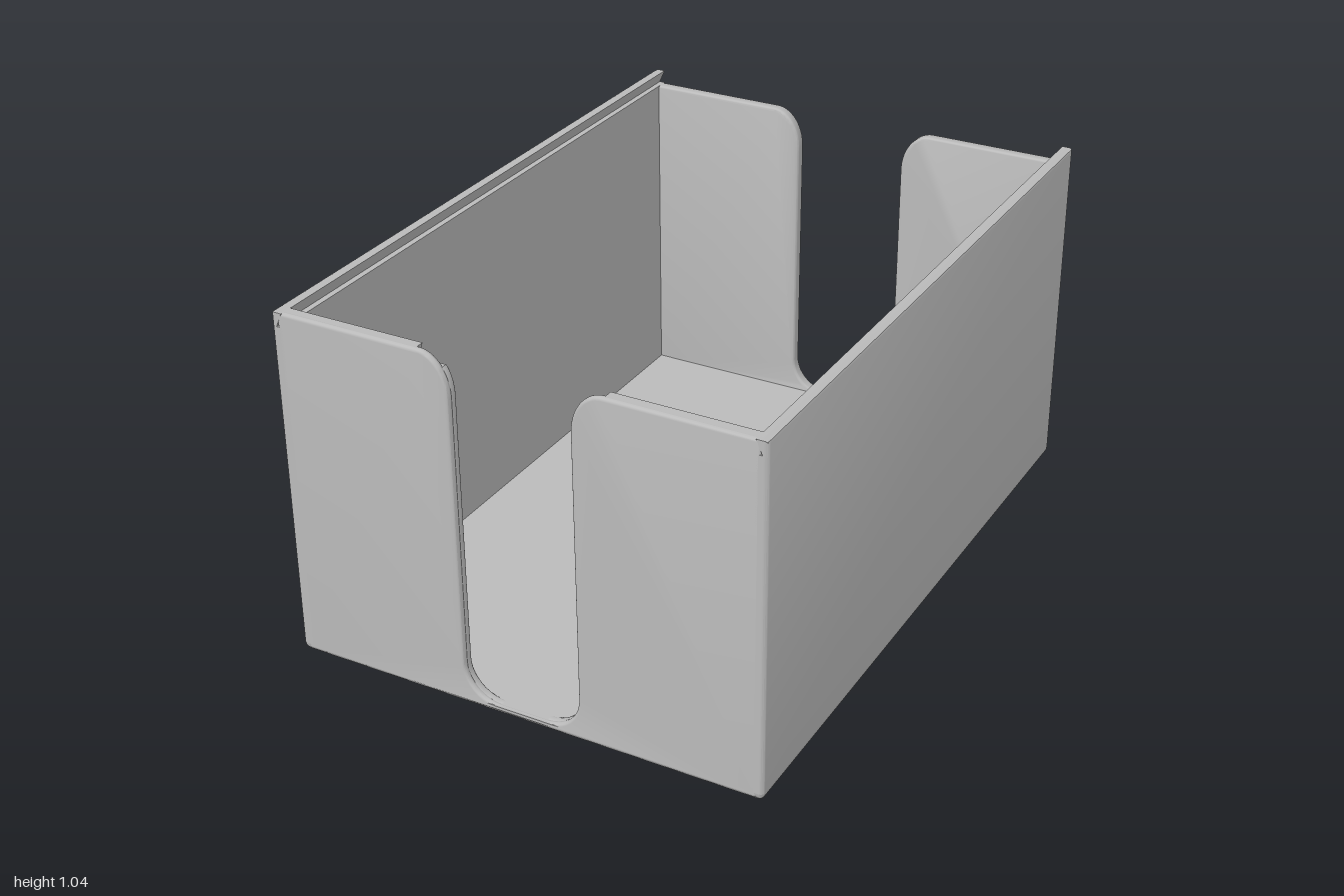
import * as THREE from 'three';
import { toCreasedNormals } from 'three/addons/utils/BufferGeometryUtils.js';

const W = 0.71, L = 1, H = 1.045;      // outer half width, half length, height
const IN_X = 0.677, IN_Z = 0.961;      // inner wall faces
const FLOOR = 0.03, LEDGE = 1.005;     // floor top and lid groove level
const R = 0.012, B = 0.009;            // corner radius and edge rounding

const smooth = (g) => toCreasedNormals(g.index ? g.toNonIndexed() : g, 0.6);

// Floor slab: stacked rounded rectangles giving a rounded lower edge
function baseGeometry() {
  const rings = 7, seg = 4, n = 4 * (seg + 1);
  const pos = [], idx = [];
  for (let i = 0; i < rings; i++) {
    const a = (i / (rings - 1)) * Math.PI / 2;
    const inset = FLOOR * (1 - Math.sin(a)), y = FLOOR * (1 - Math.cos(a));
    for (let c = 0; c < 4; c++) {
      const sx = c === 0 || c === 3 ? 1 : -1, sz = c < 2 ? 1 : -1;
      for (let s = 0; s <= seg; s++) {
        const t = (c + s / seg) * Math.PI / 2;
        pos.push(sx * (W - inset - R) + R * Math.cos(t), y, sz * (L - inset - R) + R * Math.sin(t));
      }
    }
  }
  pos.push(0, 0, 0, 0, FLOOR, 0);
  const low = rings * n, high = low + 1, top = (rings - 1) * n;
  for (let j = 0; j < n; j++) {
    const k = (j + 1) % n;
    for (let i = 0; i < rings - 1; i++) {
      const a = i * n + j, b = i * n + k;
      idx.push(a, a + n, b, b, a + n, b + n);
    }
    idx.push(low, j, k, high, top + k, top + j);
  }
  const g = new THREE.BufferGeometry();
  g.setAttribute('position', new THREE.Float32BufferAttribute(pos, 3));
  g.setIndex(idx);
  return smooth(g);
}

// Side wall: grooved section run along z, outer vertical corners rounded
function sideGeometry() {
  const section = [
    [W, FLOOR], [W, H - 0.008], [W - 0.0023, H - 0.0023], [W - 0.008, H],
    [IN_X, H], [IN_X + 0.018, LEDGE], [IN_X, LEDGE], [IN_X, FLOOR],
  ].map(([x, y]) => new THREE.Vector2(x, y));
  const half = 5, stations = [];
  for (let i = 0; i < half; i++) {
    const a = (i / (half - 1)) * Math.PI / 2;
    stations.push([-L + R * (1 - Math.cos(a)), R * (1 - Math.sin(a))]);
  }
  for (let i = half - 1; i >= 0; i--) stations.push([-stations[i][0], stations[i][1]]);
  const steps = stations.length - 1;
  const g = new THREE.ExtrudeGeometry(new THREE.Shape(section), { depth: steps, steps, bevelEnabled: false });
  const p = g.attributes.position;
  for (let i = 0; i < p.count; i++) {
    const [z, inset] = stations[Math.round(p.getZ(i))];
    p.setXYZ(i, Math.min(p.getX(i), W - inset), p.getY(i), z);
  }
  return smooth(g);
}

// End panel: U shape with a rounded slot; slotTop is where the slot flares out
function panelGeometry(z0, z1, slotTop, top) {
  const right = [];
  for (let i = 0; i <= 10; i++) {
    const a = (i / 10) * Math.PI / 2;
    right.push([0.07 + 0.105 * Math.sin(a), FLOOR + 0.105 * (1 - Math.cos(a))]);
  }
  for (let i = 0; i <= 16; i++) {
    const a = (i / 16) * Math.PI / 2;
    const x = 0.265 - 0.09 * Math.cos(a), y = slotTop - 0.12 * (1 - Math.sin(a));
    if (y < top - 0.0005) right.push([x, y]);
    else {
      const s = 1 - (slotTop - top) / 0.12;
      right.push([0.265 - 0.09 * Math.sqrt(1 - s * s), top]);
      break;
    }
  }
  right.push([0.692, top], [0.692, 0.015]);
  const left = right.map(([x, y]) => [-x, y]).reverse();
  const shape = new THREE.Shape([...right, ...left].map(([x, y]) => new THREE.Vector2(x, y)));
  const g = new THREE.ExtrudeGeometry(shape, {
    depth: z1 - z0 - 2 * B, bevelSize: B, bevelThickness: B, bevelOffset: -B, bevelSegments: 4,
  });
  g.translate(0, 0, z0 + B);
  return smooth(g);
}

// Undercut lip along the top of the front wall
function lipGeometry() {
  const shape = new THREE.Shape([
    new THREE.Vector2(-0.985, LEDGE), new THREE.Vector2(-IN_Z, H), new THREE.Vector2(-0.989, H),
  ]);
  const g = new THREE.ExtrudeGeometry(shape, { depth: 0.42, bevelEnabled: false });
  g.rotateY(Math.PI / 2);
  g.translate(0.27, 0, 0);
  return g;
}

export function createModel() {
  const group = new THREE.Group();
  const grey = new THREE.MeshStandardMaterial({ color: 0xbababa });
  grey.name = 'plain grey';
  const add = (name, geometry) => {
    const mesh = new THREE.Mesh(geometry, grey);
    mesh.name = name;
    group.add(mesh);
    return mesh;
  };

  add('floor', baseGeometry());

  const side = sideGeometry();
  add('leftWall', side);
  add('rightWall', side).rotation.y = Math.PI;

  // Front wall: tall outer skin, shorter inner skin, lips over the groove
  add('frontWallOuter', panelGeometry(0.978, L, H, H));
  add('frontWallInner', panelGeometry(IN_Z, 0.991, H, LEDGE));
  const lip = lipGeometry();
  add('frontLipLeft', lip);
  add('frontLipRight', lip).position.x = -0.96;

  // Back wall stops at the groove so a lid can slide in
  add('backWall', panelGeometry(-L, -IN_Z, LEDGE, LEDGE));
  return group;
}
